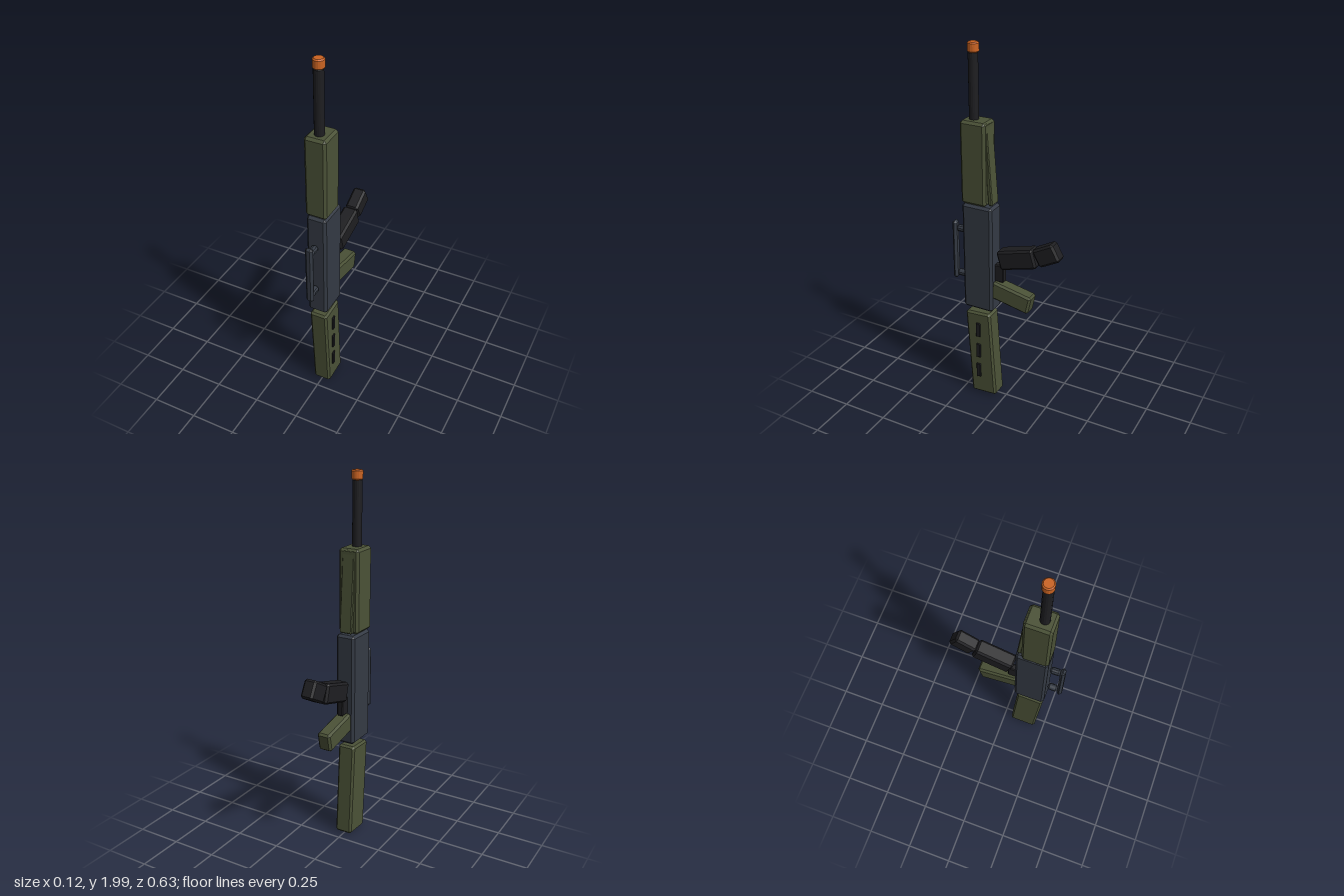
import * as THREE from 'three';
import { ConvexGeometry } from 'three/addons/geometries/ConvexGeometry.js';

const mat = (color) => new THREE.MeshStandardMaterial({ color, flatShading: true });

export function createModel() {
  const model = new THREE.Group();
  const green = mat(0x4b5237), steel = mat(0x343a44), black = mat(0x1e1e21), orange = mat(0xcc6422);

  const add = (name, geometry, material, y, z, x = 0, tilt = 0) => {
    const mesh = new THREE.Mesh(geometry, material);
    mesh.name = name;
    mesh.position.set(x, y, z);
    mesh.rotation.x = tilt;
    model.add(mesh);
    return mesh;
  };

  // Box with every edge chamfered by b
  const bevelBox = (w, h, d, b) => {
    const points = [];
    for (const sx of [-1, 1]) for (const sy of [-1, 1]) for (const sz of [-1, 1]) {
      for (let axis = 0; axis < 3; axis++) {
        const p = [w / 2 - b, h / 2 - b, d / 2 - b];
        p[axis] += b;
        points.push(new THREE.Vector3(p[0] * sx, p[1] * sy, p[2] * sz));
      }
    }
    return new ConvexGeometry(points);
  };

  // Upright rod with chamfered ends, centred on its own middle
  const bevelRod = (r, h, b, sides) => new THREE.LatheGeometry([
    [0, -h / 2], [r - b, -h / 2], [r, -h / 2 + b], [r, h / 2 - b], [r - b, h / 2], [0, h / 2],
  ].map(([x, y]) => new THREE.Vector2(x, y)), sides);

  // Barrel and tip
  add('muzzleTip', bevelRod(0.029, 0.05, 0.006, 16), orange, 1.975, 0.178);
  add('barrel', bevelRod(0.025, 0.36, 0.006, 16), black, 1.775, 0.18);

  // Handguard with a thin tapering strip behind it
  add('handguard', bevelBox(0.116, 0.442, 0.143, 0.013), green, 1.4, 0.163);
  add('handguardStrip', bevelBox(0.07, 0.43, 0.024, 0.005), green, 1.4, 0.09, 0, 0.07);

  // Receiver
  add('receiver', bevelBox(0.108, 0.612, 0.174, 0.013), steel, 0.87, 0.147);

  // Stock with three slots on its left side
  add('stock', bevelBox(0.098, 0.525, 0.151, 0.011), green, 0.275, 0.136, 0, 0.064);
  for (const y of [0.43, 0.295, 0.163]) {
    add('stockSlot', bevelBox(0.02, 0.087, 0.026, 0.003), black, y, 0.148, 0.047);
  }

  // Sight rail on two short posts
  add('sightRail', bevelBox(0.043, 0.345, 0.027, 0.012), steel, 0.872, 0.305);
  for (const y of [0.737, 1.003]) {
    add('sightPost', bevelRod(0.019, 0.056, 0.01, 10), steel, y, 0.265, 0, Math.PI / 2);
  }

  // Bent magazine in two segments
  add('magazineLower', bevelBox(0.08, 0.106, 0.215, 0.011), black, 0.91, -0.073, 0, 0.277);
  add('magazineUpper', bevelBox(0.07, 0.1, 0.128, 0.011), black, 0.972, -0.238, 0, 0.5);

  // Trigger block and grip
  add('triggerGuard', bevelBox(0.034, 0.1, 0.06, 0.005), black, 0.794, 0.04);
  add('grip', bevelBox(0.076, 0.104, 0.23, 0.011), green, 0.675, -0.038, 0, -0.2);

  return model;
}
